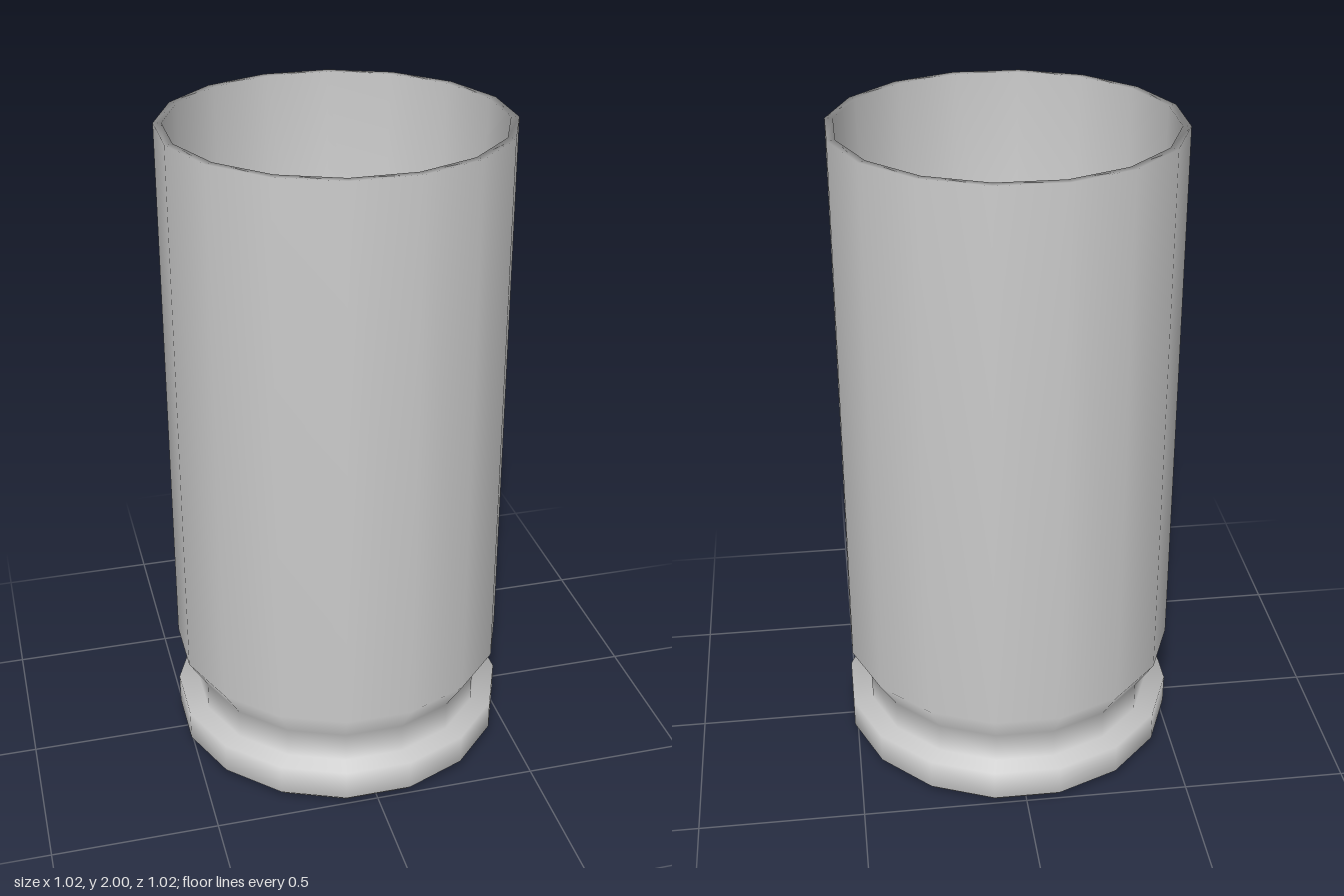
import * as THREE from 'three';

const SIDES = 16;

// Revolves a profile of [radius, height] pairs with flats facing the axes
function turned(name, profile, material) {
  const points = profile.map(([r, y]) => new THREE.Vector2(r, y));
  const mesh = new THREE.Mesh(new THREE.LatheGeometry(points, SIDES, Math.PI / SIDES), material);
  mesh.name = name;
  return mesh;
}

export function createModel() {
  const group = new THREE.Group();
  group.name = 'emptyCasing';
  const material = new THREE.MeshStandardMaterial({ color: 0xcccccc });

  // One smooth shell, from the centre of the base round to the inner floor
  group.add(turned('casing', [
    // recessed disc in the base
    [0, 0.03], [0.2, 0.03], [0.22, 0],
    // chamfered rim
    [0.488, 0], [0.52, 0.03], [0.52, 0.125],
    // groove and sloping shoulder
    [0.456, 0.125], [0.456, 0.22], [0.515, 0.315],
    // slightly tapered wall and mouth
    [0.508, 2], [0.484, 2],
    // hollow inside
    [0.484, 0.33], [0, 0.33],
  ], material));

  return group;
}
